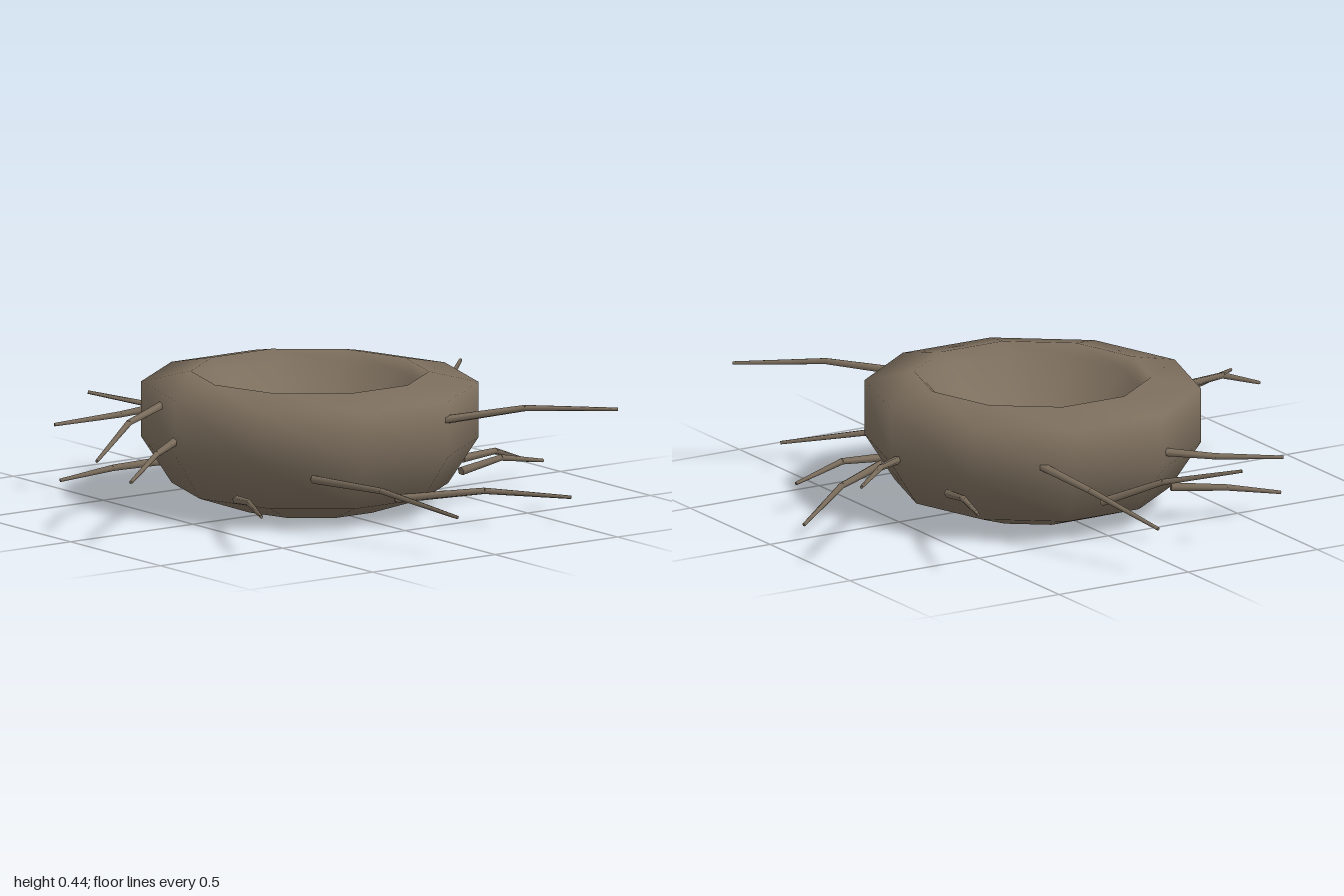
import * as THREE from 'three';

export function createModel() {
  const nest = new THREE.Group();
  nest.name = 'nest';
  const bark = new THREE.MeshStandardMaterial({ color: 0x7d6f5e, side: THREE.DoubleSide });
  bark.name = 'barkBrown';

  // Ten-sided bowl: open underneath, rolled rim, steep hollow with a pointed floor
  const profile = [
    [0.248, 0], [0.45, 0.07], [0.55, 0.225], [0.55, 0.41], [0.388, 0.445],
    [0.35, 0.41], [0.22, 0.255], [0.0001, 0.16],
  ].map(([r, y]) => new THREE.Vector2(r, y));
  const bowl = new THREE.Mesh(new THREE.LatheGeometry(profile, 10, Math.PI / 2), bark);
  bowl.name = 'bowl';
  bowl.position.set(0.014, 0, -0.05);
  bowl.scale.z = 1.03;
  nest.add(bowl);

  // Tapered stick between two points
  const up = new THREE.Vector3(0, 1, 0);
  function stick(a, b, r0, r1) {
    const dir = b.clone().sub(a);
    const mesh = new THREE.Mesh(new THREE.CylinderGeometry(r1, r0, dir.length(), 5), bark);
    mesh.position.copy(a).add(b).multiplyScalar(0.5);
    mesh.quaternion.setFromUnitVectors(up, dir.normalize());
    return mesh;
  }

  // Loose twigs: root, bend, tip
  const twigs = [
    [[0.27, 0.285, -0.5], [0.205, 0.24, -0.72], [0.115, 0.165, -1.0]],
    [[0.07, 0.145, -0.57], [-0.08, 0.225, -0.71], [-0.28, 0.275, -0.885]],
    [[-0.15, 0.28, -0.55], [-0.34, 0.25, -0.62], [-0.56, 0.23, -0.69]],
    [[-0.27, 0.115, -0.455], [-0.45, 0.1, -0.515], [-0.625, 0.07, -0.57]],
    [[-0.45, 0.37, -0.21], [-0.69, 0.345, -0.1], [-0.9, 0.26, 0.01]],
    [[-0.52, 0.27, -0.07], [-0.7, 0.27, 0.07], [-0.945, 0.235, 0.26]],
    [[-0.44, 0.1, 0.16], [-0.55, 0.14, 0.38], [-0.66, 0.14, 0.6]],
    [[-0.28, 0.185, 0.37], [-0.215, 0.185, 0.66], [-0.145, 0.14, 0.99]],
    [[-0.01, 0.1, 0.455], [0.25, 0.12, 0.6], [0.505, 0.09, 0.735]],
    [[0.165, 0.345, 0.47], [0.4, 0.383, 0.62], [0.66, 0.375, 0.785]],
    [[0.37, 0.125, 0.305], [0.55, 0.145, 0.28], [0.745, 0.107, 0.25]],
    [[0.45, 0.14, 0.2], [0.66, 0.125, 0.1], [0.875, 0.05, -0.01]],
    [[0.55, 0.238, -0.07], [0.73, 0.288, -0.26], [0.94, 0.305, -0.475]],
    [[0.475, 0.16, -0.265], [0.54, 0.203, -0.46], [0.62, 0.215, -0.69]],
  ];
  twigs.forEach((points, i) => {
    const [root, bend, tip] = points.map((p) => new THREE.Vector3(...p));
    const twig = new THREE.Group();
    twig.name = `twig${i + 1}`;
    twig.add(stick(root, bend, 0.015, 0.011), stick(bend, tip, 0.011, 0.006));
    nest.add(twig);
  });
  return nest;
}
